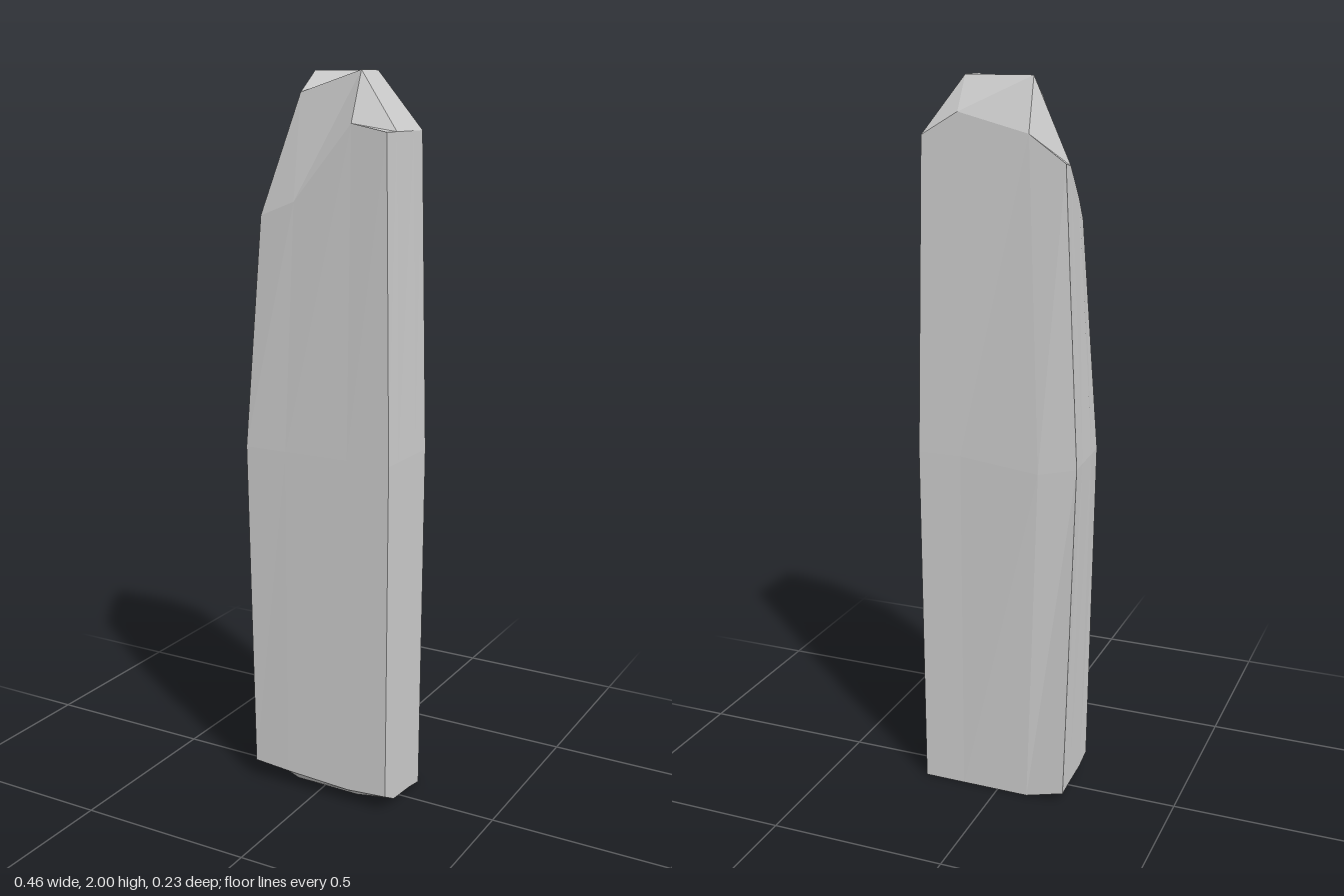
import * as THREE from 'three';

// Cross-sections from bottom to top. Columns run along x, rows along z (back to front).
const LEVELS = [
  { // underside
    xBack: [-0.2, -0.09, 0.105, 0.225], xFront: [-0.2, -0.09, 0.105, 0.224],
    zMinus: [-0.1, -0.04, 0.05, 0.108], zPlus: [-0.097, -0.04, 0.06, 0.113],
    y: [[0.03, 0, 0, 0], [0.035, 0.004, 0.004, 0.01], [0.04, 0, 0, 0.02], [0.055, 0.048, 0.04, 0.05]],
  },
  { // waist, the widest section
    xBack: [-0.228, -0.125, 0.105, 0.228], xFront: [-0.215, -0.09, 0.1, 0.225],
    zMinus: [-0.1, -0.04, 0.05, 0.111], zPlus: [-0.101, -0.04, 0.06, 0.113],
    y: [[1, 0.98, 1, 1], [1, 1, 1, 1], [1, 1, 1, 1], [1, 1, 1, 1]],
    bulge: -0.016,
  },
  { // chipped crown
    xBack: [-0.185, -0.086, 0.107, 0.209], xFront: [-0.171, -0.067, 0.105, 0.208],
    zMinus: [-0.089, -0.038, 0.044, 0.092], zPlus: [-0.092, -0.04, 0.053, 0.107],
    y: [[1.79, 1.86, 1.91, 1.85], [1.78, 2, 2, 1.85], [1.69, 1.945, 2, 1.85], [1.63, 1.67, 1.87, 1.85]],
  },
];

// Position of one lattice corner: column i, level j, row k
function corner(i, j, k) {
  const s = LEVELS[j];
  const x = THREE.MathUtils.lerp(s.xBack[i], s.xFront[i], k / 3);
  let z = THREE.MathUtils.lerp(s.zMinus[k], s.zPlus[k], i / 3);
  if (s.bulge && i === 1 && k === 0) z += s.bulge;
  return [x, s.y[k][i], z];
}

export function createModel() {
  const group = new THREE.Group();
  group.name = 'standingStone';

  // Stone slab: a subdivided box whose corners move onto the cross-sections
  const geometry = new THREE.BoxGeometry(1, 1, 1, 3, 2, 3);
  const p = geometry.attributes.position;
  for (let n = 0; n < p.count; n++) {
    const i = Math.round((p.getX(n) + 0.5) * 3);
    const j = Math.round((p.getY(n) + 0.5) * 2);
    const k = Math.round((p.getZ(n) + 0.5) * 3);
    p.setXYZ(n, ...corner(i, j, k));
  }
  geometry.computeVertexNormals();

  const slab = new THREE.Mesh(
    geometry,
    new THREE.MeshStandardMaterial({ color: 0xcccccc, flatShading: true }),
  );
  slab.name = 'stoneSlab';
  group.add(slab);
  return group;
}
